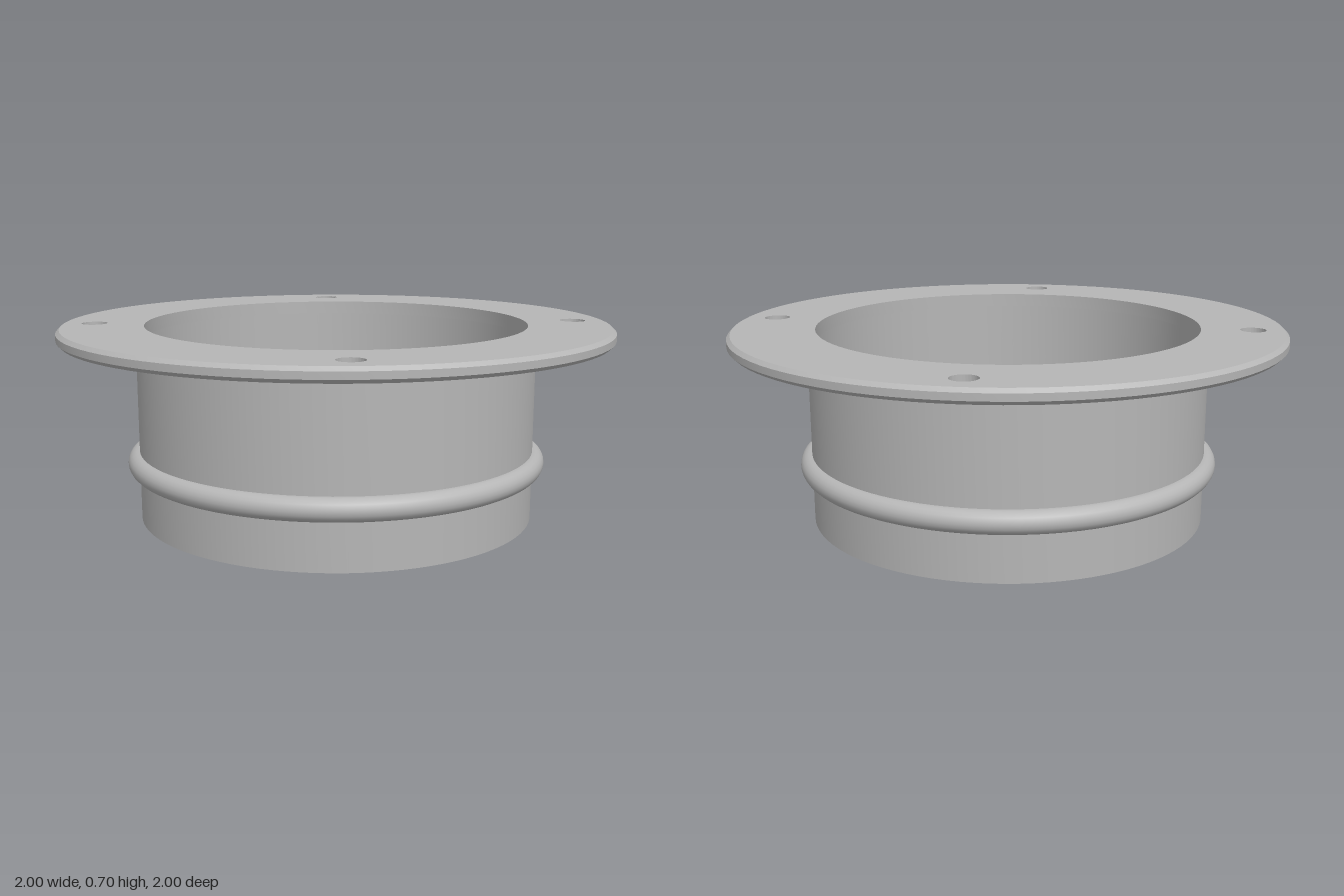
import * as THREE from 'three';
import { toCreasedNormals } from 'three/addons/utils/BufferGeometryUtils.js';

const SEGMENTS = 96;
const INNER = 0.694, OUTER = 0.725;       // pipe wall radii
const BOTTOM = 0.655, TOP = 0.705;        // flange heights
const BEVEL = 0.013;

export function createModel() {
  const group = new THREE.Group();
  group.name = 'flangedCollar';
  const metal = new THREE.MeshStandardMaterial({ color: 0xb6b6b6 });
  metal.name = 'grey metal';

  const add = (name, geometry) => {
    const mesh = new THREE.Mesh(geometry, metal);
    mesh.name = name;
    group.add(mesh);
    return mesh;
  };
  const lathe = (points) => toCreasedNormals(
    new THREE.LatheGeometry(points.map(([r, y]) => new THREE.Vector2(r, y)), SEGMENTS), 0.5);

  // Pipe wall: down the inside, across the lower lip, up the outside
  add('pipe', lathe([[INNER, BOTTOM], [INNER, 0], [OUTER, 0], [OUTER, BOTTOM]]));

  // Rounded bead around the pipe, just breaking through the inner wall
  const bead = add('bead', new THREE.TorusGeometry(0.726, 0.041, 20, SEGMENTS).rotateX(Math.PI / 2));
  bead.position.y = 0.21;

  // Flange plate with the bore and four bolt holes
  const plate = new THREE.Shape().absarc(0, 0, 1 - BEVEL, 0, Math.PI * 2);
  const cutHole = (x, y, r) =>
    plate.holes.push(new THREE.Path().absarc(x, y, r, 0, Math.PI * 2, true));
  cutHole(0, 0, INNER);
  for (const x of [-0.62, 0.62])
    for (const y of [-0.62, 0.62]) cutHole(x, y, 0.046);
  const plateGeometry = new THREE.ExtrudeGeometry(plate, {
    depth: TOP - BOTTOM, bevelEnabled: false, curveSegments: SEGMENTS / 2,
  }).rotateX(-Math.PI / 2).translate(0, BOTTOM, 0);
  add('flange', toCreasedNormals(plateGeometry, 0.5));

  // Bevelled outer edge of the flange
  add('flangeRim', lathe([
    [1 - BEVEL, BOTTOM], [1, BOTTOM + BEVEL], [1, TOP - BEVEL], [1 - BEVEL, TOP],
  ]));

  return group;
}
